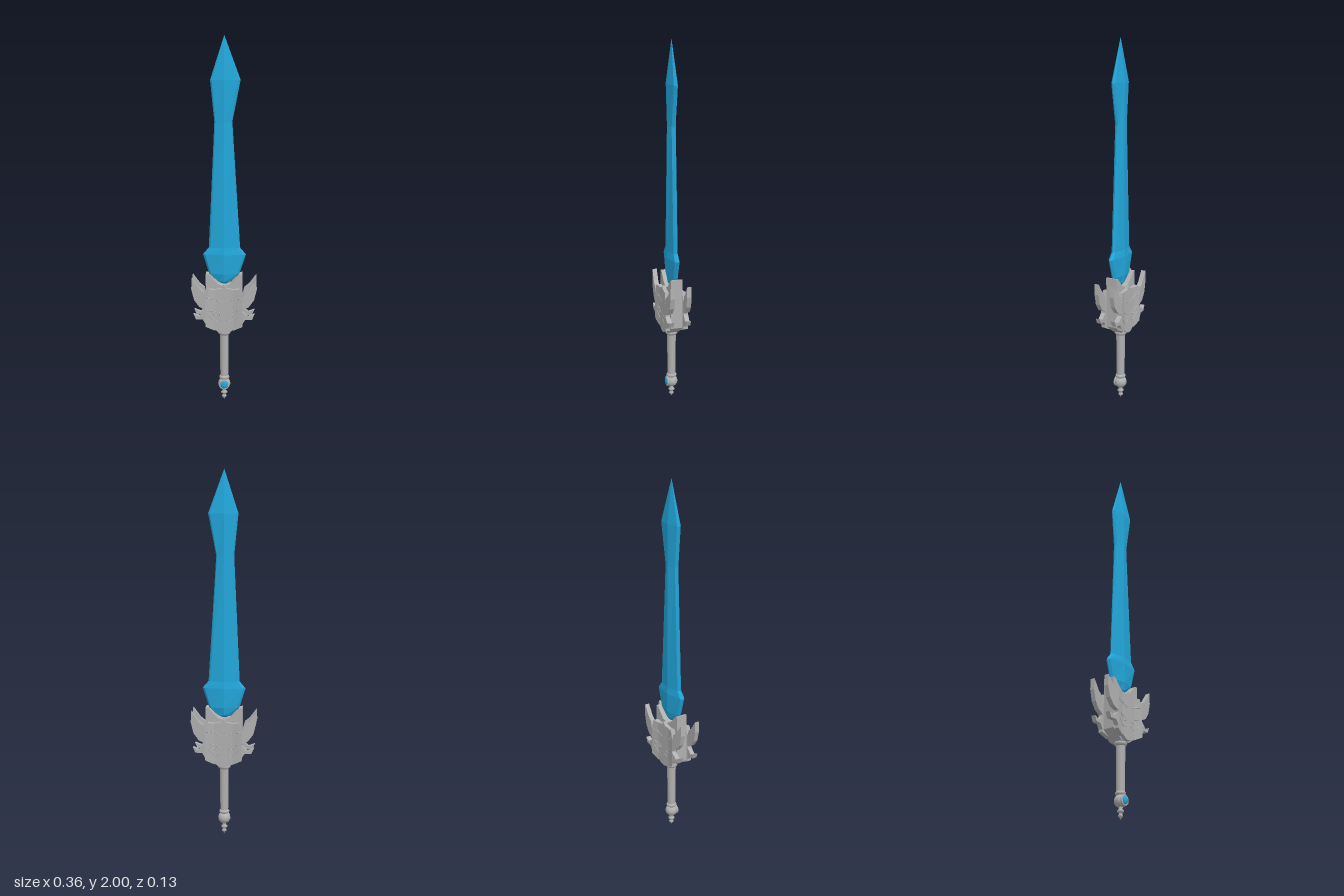
import * as THREE from 'three';

const steel = new THREE.MeshStandardMaterial({ color: 0xb0b0b0, flatShading: true });
steel.name = 'steel grey';
const smoothSteel = new THREE.MeshStandardMaterial({ color: 0xb0b0b0 });
smoothSteel.name = 'polished steel grey';
const crystal = new THREE.MeshStandardMaterial({ color: 0x22a7db, flatShading: true });
crystal.name = 'crystal blue';

function add(parent, name, geometry, material) {
  const mesh = new THREE.Mesh(geometry, material);
  mesh.name = name;
  parent.add(mesh);
  return mesh;
}

const toShape = (pts, sx = 1) => new THREE.Shape(pts.map(([x, y]) => new THREE.Vector2(x * sx, y)));
const mirrored = (half) => [...half, ...half.filter(([x]) => x > 0).reverse().map(([x, y]) => [-x, y])];

// Faceted blade lofted through eight-sided sections: [y, left width, right width, half thickness]
function bladeGeometry() {
  const sections = [
    [0.67, 0.012, 0.012, 0.008], [0.682, 0.036, 0.036, 0.02], [0.725, 0.083, 0.083, 0.028],
    [0.832, 0.116, 0.118, 0.03], [0.87, 0.084, 0.086, 0.026], [1.55, 0.053, 0.043, 0.024],
    [1.77, 0.075, 0.086, 0.025], [2.0, 0.0005, 0.0005, 0.0005],
  ];
  const rings = sections.map(([y, l, r, t]) => [
    [r, 0], [r * 0.89, -t * 0.45], [0, -t], [-l * 0.89, -t * 0.45],
    [-l, 0], [-l * 0.89, t * 0.45], [0, t], [r * 0.89, t * 0.45],
  ].map(([x, z]) => [x, y, z]));
  const pos = [];
  for (let i = 0; i < rings.length - 1; i++) {
    for (let j = 0; j < 8; j++) {
      const k = (j + 1) % 8;
      const [a, b, c, d] = [rings[i][j], rings[i][k], rings[i + 1][k], rings[i + 1][j]];
      pos.push(...a, ...b, ...c, ...a, ...c, ...d);
    }
  }
  for (let j = 1; j < 7; j++) pos.push(...rings[0][0], ...rings[0][j + 1], ...rings[0][j]);
  const g = new THREE.BufferGeometry();
  g.setAttribute('position', new THREE.Float32BufferAttribute(pos, 3));
  g.computeVertexNormals();
  return g;
}

// Outer surface of the guard plates, bowed outward across their width
function outerZ(x) {
  const a = Math.abs(x);
  if (a <= 0.05) return 0.053;
  if (a <= 0.1) return 0.053 + 0.012 * (a - 0.05) / 0.05;
  return 0.065 - 0.006 * (a - 0.1) / 0.078;
}

function plate(pts, sx = 1) {
  const g = new THREE.ExtrudeGeometry(toShape(pts, sx), { depth: 0.026, bevelEnabled: false });
  const p = g.attributes.position;
  for (let i = 0; i < p.count; i++) p.setZ(i, outerZ(p.getX(i)) - 0.026 + p.getZ(i));
  g.computeVertexNormals();
  return g;
}

// One beast-mask face of the guard, with ears and cheek spikes
function guardFace() {
  const face = new THREE.Group();
  add(face, 'maskCentre', plate(mirrored([
    [0, 0.67], [0.012, 0.652], [0.05, 0.645], [0.05, 0.425], [0.025, 0.405], [0, 0.4],
  ])), steel);
  const cheek = [[0.05, 0.645], [0.085, 0.65], [0.1, 0.6], [0.1, 0.44], [0.05, 0.415]];
  const ear = [[0.1, 0.6], [0.11, 0.635], [0.135, 0.655], [0.175, 0.71], [0.178, 0.65],
    [0.163, 0.59], [0.135, 0.552], [0.1, 0.535]];
  const spike = [[0.1, 0.525], [0.132, 0.497], [0.166, 0.511], [0.153, 0.481], [0.115, 0.48], [0.1, 0.455]];
  for (const s of [1, -1]) {
    add(face, 'cheek', plate(cheek, s), steel);
    add(face, 'ear', plate(ear, s), steel);
    add(face, 'cheekSpike', plate(spike, s), steel);
    // Raised brow, eye and muzzle creases
    const creases = {
      brow: [[0.012, 0.575], [0.045, 0.59], [0.095, 0.6]],
      eyeLid: [[0.02, 0.505], [0.045, 0.522], [0.075, 0.53]],
      eyeRim: [[0.02, 0.505], [0.05, 0.5], [0.075, 0.53]],
      muzzle: [[0.01, 0.48], [0.04, 0.465], [0.08, 0.5]],
    };
    for (const [name, pts] of Object.entries(creases)) {
      const curve = new THREE.CatmullRomCurve3(
        pts.map(([x, y]) => new THREE.Vector3(x * s, y, outerZ(x))));
      add(face, name, new THREE.TubeGeometry(curve, 10, 0.0018, 5), steel);
    }
  }
  return face;
}

export function createModel() {
  const sword = new THREE.Group();
  sword.name = 'sword';

  add(sword, 'blade', bladeGeometry(), crystal);

  // Guard core, notched to hold the foot of the blade
  const core = new THREE.ExtrudeGeometry(toShape(mirrored([
    [0, 0.66], [0.035, 0.672], [0.083, 0.725], [0.1, 0.728], [0.1, 0.45], [0.032, 0.4], [0, 0.4],
  ])), { depth: 0.064, bevelEnabled: false });
  core.translate(0, 0, -0.032);
  add(sword, 'guardCore', core, steel);

  // Front and back masks
  for (const [name, turn] of [['frontMask', 0], ['backMask', Math.PI]]) {
    const face = guardFace();
    face.name = name;
    face.rotation.y = turn;
    sword.add(face);
  }

  // Turned handle: grip between two collars
  const lathe = (pts) => new THREE.LatheGeometry(pts.map(([r, y]) => new THREE.Vector2(r, y)), 24);
  add(sword, 'grip', new THREE.CylinderGeometry(0.025, 0.022, 0.27, 24).translate(0, 0.265, 0), smoothSteel);
  add(sword, 'upperCollar', lathe([
    [0, 0.378], [0.028, 0.38], [0.034, 0.388], [0.034, 0.396], [0.028, 0.405], [0, 0.41],
  ]), smoothSteel);
  add(sword, 'lowerCollar', lathe([
    [0, 0.122], [0.022, 0.122], [0.028, 0.128], [0.028, 0.136], [0.022, 0.143], [0, 0.143],
  ]), smoothSteel);

  // Pommel with stepped finial
  add(sword, 'pommel', new THREE.SphereGeometry(0.034, 24, 16).translate(0, 0.095, 0), smoothSteel);
  add(sword, 'finial', lathe([
    [0, 0], [0.007, 0.012], [0.013, 0.017], [0.013, 0.024], [0.008, 0.028], [0.009, 0.034],
    [0.017, 0.039], [0.017, 0.047], [0.01, 0.052], [0.012, 0.07],
  ]), smoothSteel);

  // Jewel in its setting
  add(sword, 'jewelSetting', new THREE.TorusGeometry(0.024, 0.006, 8, 24).translate(0, 0.095, 0.025), smoothSteel);
  const jewel = add(sword, 'jewel', new THREE.SphereGeometry(0.022, 16, 10), crystal);
  jewel.scale.z = 0.5;
  jewel.position.set(0, 0.095, 0.027);

  return sword;
}
